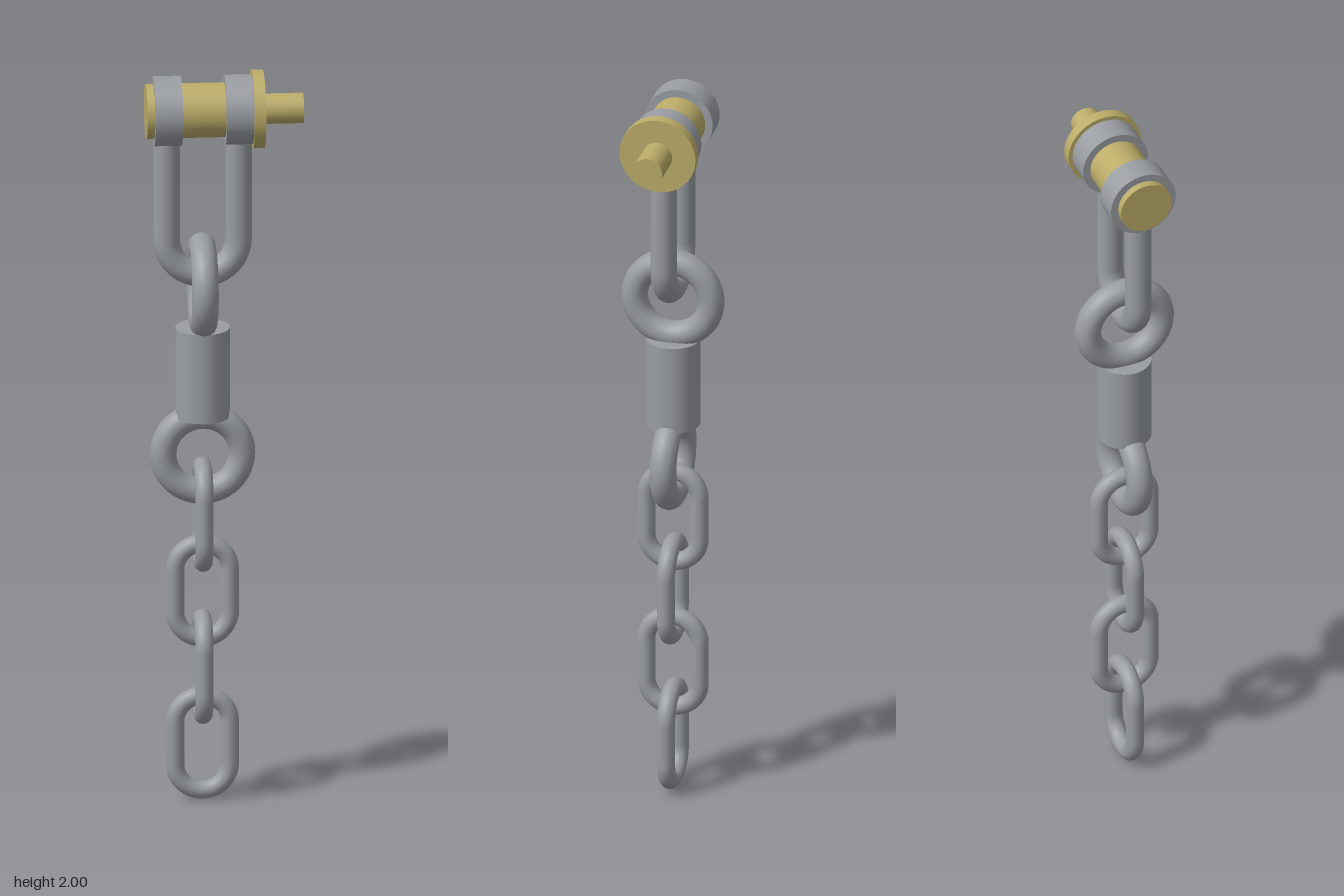
import * as THREE from 'three';

const AXIS_X = -0.058; // chain hangs on this line
const PIN_Y = 1.897;

// Oval path in the xy plane: two half circles joined by straight sides
class OvalCurve extends THREE.Curve {
  constructor(radius, half) {
    super();
    this.radius = radius;
    this.half = half;
  }
  getPoint(t, target = new THREE.Vector3()) {
    const { radius: r, half: h } = this;
    const arc = Math.PI * r, side = 2 * h;
    let s = (t % 1) * 2 * (arc + side);
    const sign = s < arc + side ? 1 : -1; // second half is the first turned by 180 degrees
    if (sign < 0) s -= arc + side;
    if (s < arc) target.set(r * Math.cos(s / r), h + r * Math.sin(s / r), 0);
    else target.set(-r, h - (s - arc), 0);
    return target.multiplyScalar(sign);
  }
}

// U path: down one leg, round the bottom, up the other
class UCurve extends THREE.Curve {
  constructor(radius, leg) {
    super();
    this.radius = radius;
    this.leg = leg;
  }
  getPoint(t, target = new THREE.Vector3()) {
    const { radius: r, leg } = this;
    const arc = Math.PI * r;
    const s = t * (2 * leg + arc);
    if (s < leg) return target.set(-r, leg - s, 0);
    if (s > leg + arc) return target.set(r, s - leg - arc, 0);
    const a = Math.PI + (s - leg) / r;
    return target.set(r * Math.cos(a), r * Math.sin(a), 0);
  }
}

export function createModel() {
  const steel = new THREE.MeshStandardMaterial({ color: 0x999da2 });
  const brass = new THREE.MeshStandardMaterial({ color: 0xbbac68 });
  const model = new THREE.Group();
  model.name = 'shackleChain';

  const add = (name, geometry, material, x, y) => {
    const mesh = new THREE.Mesh(geometry, material);
    mesh.name = name;
    mesh.position.set(x, y, 0);
    model.add(mesh);
    return mesh;
  };

  // Cylinder lying along x between two ends
  const pinPart = (name, material, x0, x1, radius) => {
    const geometry = new THREE.CylinderGeometry(radius, radius, x1 - x0, 48);
    geometry.rotateZ(-Math.PI / 2);
    return add(name, geometry, material, (x0 + x1) / 2, PIN_Y);
  };

  // Pin with flange and tip
  pinPart('pinShaft', brass, -0.207, 0.08, 0.072);
  pinPart('pinFlange', brass, 0.072, 0.102, 0.103);
  pinPart('pinTip', brass, 0.1, 0.206, 0.04);

  // Shackle eyes and U-shaped bow
  pinPart('rightShackleEye', steel, -0.187, -0.115, 0.092);
  pinPart('leftShackleEye', steel, 0, 0.072, 0.092);
  const bowY = 1.542;
  add('shackleBow', new THREE.TubeGeometry(new UCurve(0.0945, 1.825 - bowY), 80, 0.035, 20), steel, AXIS_X, bowY);

  // Swivel: barrel between two crossed rings
  const ring = new THREE.TorusGeometry(0.1035, 0.035, 20, 56);
  add('upperSwivelRing', ring, steel, AXIS_X, 1.415).rotation.y = Math.PI / 2;
  add('swivelBarrel', new THREE.CylinderGeometry(0.0715, 0.0715, 0.245, 48), steel, AXIS_X, 1.177);
  add('lowerSwivelRing', ring, steel, AXIS_X, 0.952);

  // Chain links, alternately turned a quarter
  const link = new THREE.TubeGeometry(new OvalCurve(0.072, 0.058), 96, 0.024, 16, true);
  for (let i = 0; i < 4; i++) {
    const mesh = add(`chainLink${i + 1}`, link, steel, AXIS_X, 0.154 + i * 0.2097);
    mesh.rotation.y = (i % 2) * Math.PI / 2;
  }

  return model;
}
